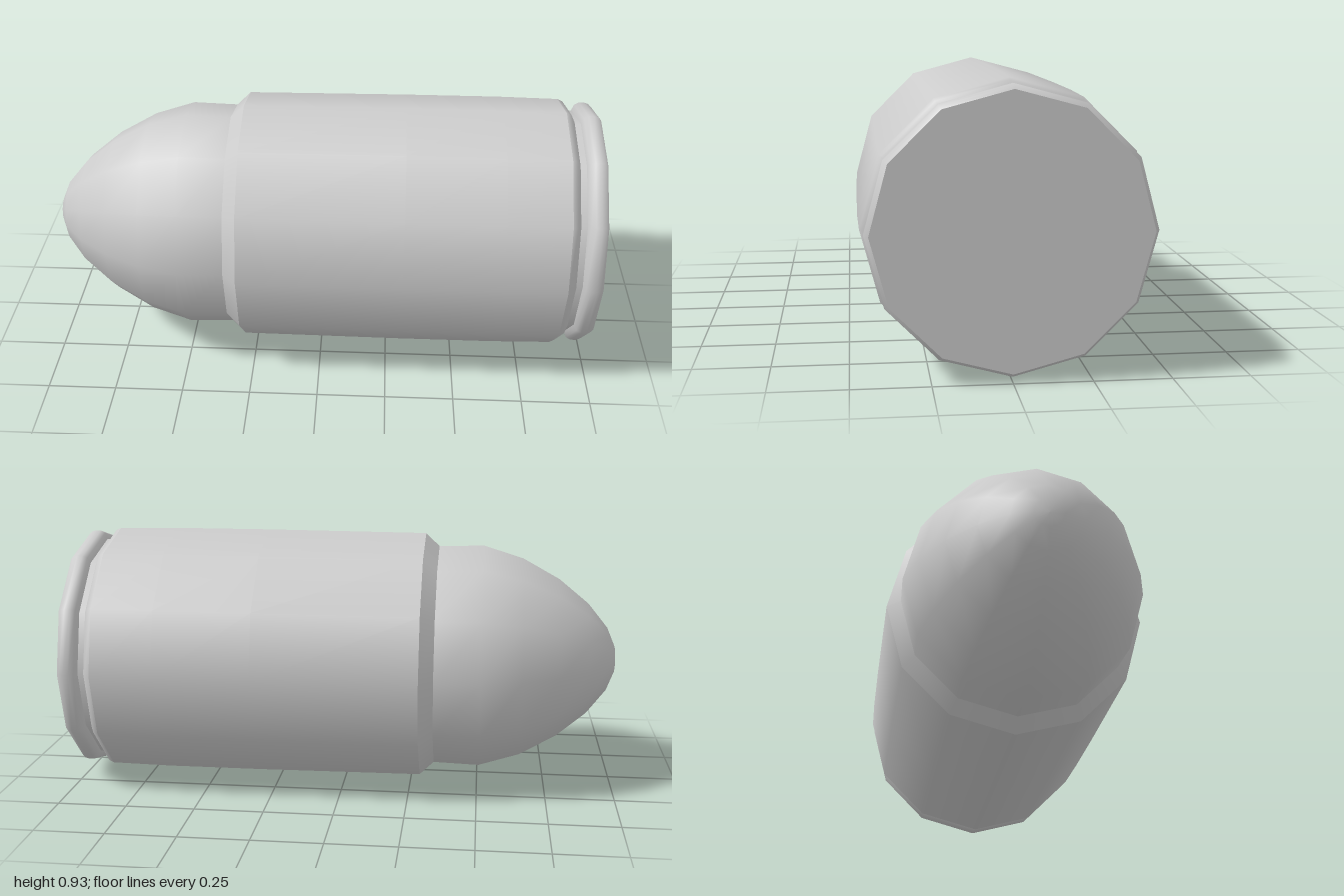
import * as THREE from 'three';

const SIDES = 12;
const AXIS_HEIGHT = 0.467;

export function createModel() {
  const group = new THREE.Group();
  group.name = 'cartridge';
  const material = new THREE.MeshStandardMaterial({ color: 0xcccccc });

  // Turn a profile of [position along x, radius] around the long axis
  function turned(name, profile) {
    const points = profile.map(([x, r]) => new THREE.Vector2(r, x));
    const geometry = new THREE.LatheGeometry(points, SIDES);
    geometry.rotateZ(-Math.PI / 2);
    geometry.translate(0, AXIS_HEIGHT, 0);
    const mesh = new THREE.Mesh(geometry, material);
    mesh.name = name;
    group.add(mesh);
  }

  // Rounded nose
  turned('bulletTip', [
    [-1, 0], [-0.998, 0.05], [-0.968, 0.12], [-0.895, 0.21], [-0.785, 0.3],
    [-0.65, 0.375], [-0.505, 0.42], [-0.34, 0.415],
  ]);

  // Casing, in separate bands so the edges stay sharp
  turned('casingMouth', [[-0.34, 0.415], [-0.29, 0.463]]);
  turned('casingBody', [[-0.29, 0.463], [0.3, 0.467], [0.65, 0.467], [0.875, 0.463]]);
  turned('casingBevel', [[0.875, 0.463], [0.893, 0.455], [0.907, 0.425]]);

  // Extractor groove, rim and flat base
  turned('extractorGroove', [[0.907, 0.42], [0.93, 0.42]]);
  turned('rim', [[0.93, 0.42], [0.938, 0.443], [0.955, 0.452], [0.975, 0.452], [0.99, 0.447], [1, 0.437]]);
  turned('base', [[1, 0.437], [1, 0]]);

  return group;
}
